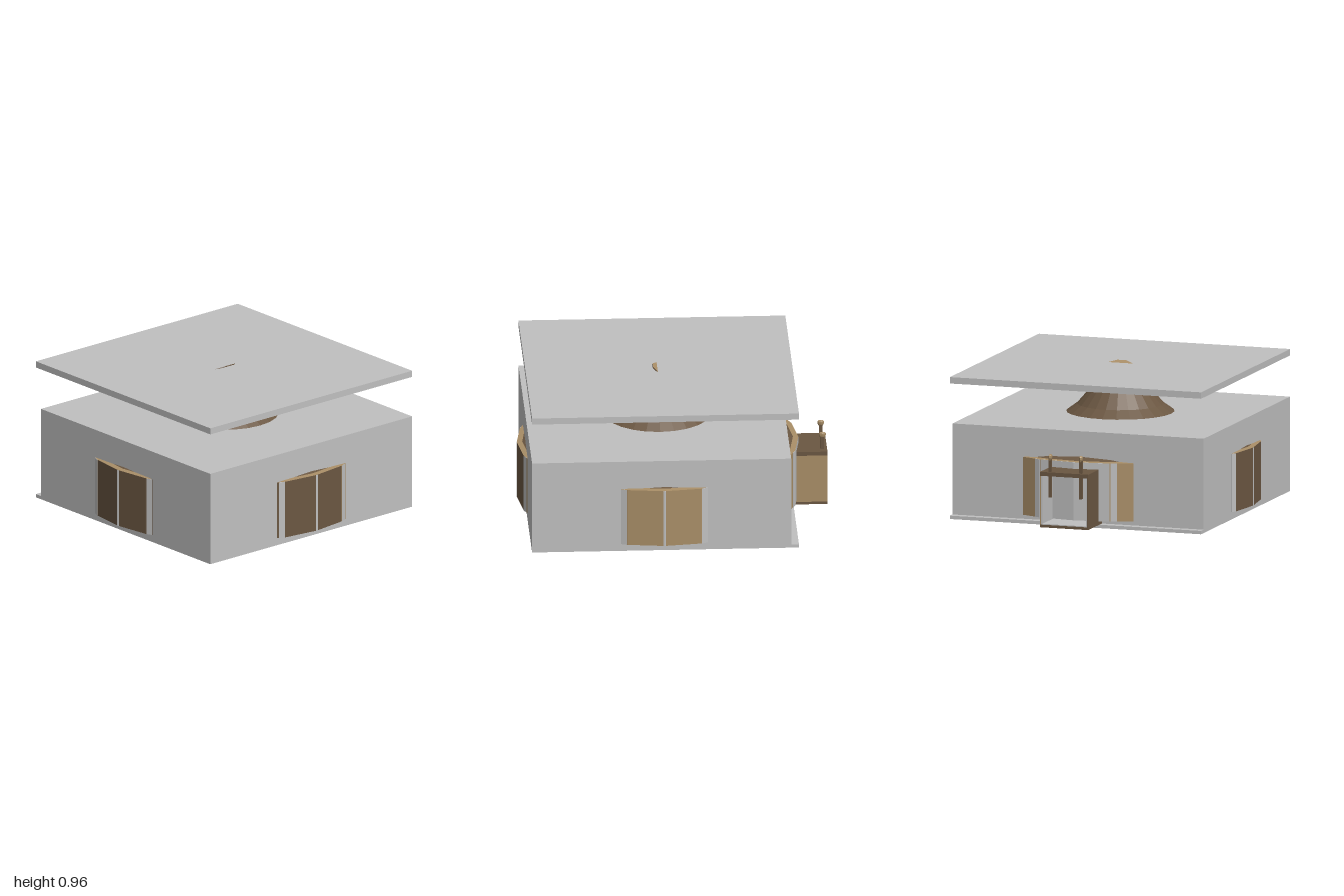
import * as THREE from 'three';

export function createModel() {
  const model = new THREE.Group();
  const mat = (name, color) => {
    const m = new THREE.MeshStandardMaterial({ color, side: THREE.DoubleSide, flatShading: true });
    m.name = name;
    return m;
  };
  const gray = mat('pale gray', 0xc0c0c0);
  const tan = mat('tan wood', 0xa98e67);
  const brown = mat('brown wood', 0x6b5742);

  const add = (name, geometry, material, x = 0, y = 0, z = 0, parent = model) => {
    const mesh = new THREE.Mesh(geometry, material);
    mesh.name = name;
    mesh.position.set(x, y, z);
    parent.add(mesh);
    return mesh;
  };
  // Box given by its limits on each axis
  const block = (name, material, x0, x1, y0, y1, z0, z1, parent = model) =>
    add(name, new THREE.BoxGeometry(x1 - x0, y1 - y0, z1 - z0), material,
      (x0 + x1) / 2, (y0 + y1) / 2, (z0 + z1) / 2, parent);

  // Square enclosure, floor ledge and floating roof slab
  block('enclosure', gray, -0.86, 0.86, 0.012, 0.63, -0.73, 0.945);
  block('floorLedge', gray, -0.86, 0.86, 0.012, 0.034, -0.78, -0.73);
  block('roofSlab', gray, -0.86, 0.86, 0.9, 0.942, -0.78, 0.945);

  // Round tent inside, with 24 sides, whose walls show through each face
  const tent = new THREE.Group();
  tent.name = 'roundTent';
  tent.position.z = 0.09;
  model.add(tent);
  const SIDES = 24, R = 0.91, Y0 = 0.06, Y1 = 0.44;
  const corner = (i) => {
    const a = (i / SIDES) * Math.PI * 2;
    return new THREE.Vector2(R * Math.sin(a), R * Math.cos(a));
  };
  // Flat wall piece covering the span t0..t1 of one side
  const wallPiece = (name, i, t0, t1, material, proud = 0) => {
    const a = corner(i).lerp(corner(i + 1), t0);
    const b = corner(i).lerp(corner(i + 1), t1);
    const angle = ((i + 0.5) / SIDES) * Math.PI * 2;
    const depth = 0.02;
    const mesh = add(name, new THREE.BoxGeometry(a.distanceTo(b), Y1 - Y0, depth), material,
      (a.x + b.x) / 2 + Math.sin(angle) * (proud - depth / 2), (Y0 + Y1) / 2,
      (a.y + b.y) / 2 + Math.cos(angle) * (proud - depth / 2), tent);
    mesh.rotation.y = angle;
  };
  for (let i = 0; i < SIDES; i++) {
    const isDoor = i === 11 || i === 12;
    const isTan = i >= 1 && i <= 13;
    wallPiece('wallPanel', i, 0, 1, isDoor ? gray : isTan ? tan : brown);
  }
  // Pale strips at the middle and both sides of each exposed stretch
  for (let q = 0; q < 4; q++) {
    const c = q * 6;
    wallPiece('wallStrip', c + 1, 0.03, 0.2, gray, 0.002);
    wallPiece('wallStrip', c - 2, 0.8, 0.97, gray, 0.002);
    wallPiece('seamStrip', c, 0, 0.03, gray, 0.002);
    wallPiece('seamStrip', c - 1, 0.97, 1, gray, 0.002);
  }
  const lathe = (name, points, material) =>
    add(name, new THREE.LatheGeometry(points.map(p => new THREE.Vector2(...p)), SIDES), material, 0, 0, 0, tent);
  lathe('wallRim', [[0.91, 0.441], [0.875, 0.444]], tan);
  lathe('tentRoof', [[0.875, 0.444], [0.35, 0.63], [0.28, 0.68], [0.185, 0.79], [0.15, 0.91]], brown);

  // Tilted crown cover, its edge just breaking through the slab
  const crown = add('crownCover', new THREE.CylinderGeometry(0.12, 0.12, 0.006, 12, 1, false, Math.PI / 12),
    [brown, tan, brown], 0, 0.902, 0.018);
  crown.rotation.x = -0.46;
  // Small foot showing under the floor
  const foot = add('floorFoot', new THREE.CylinderGeometry(0.055, 0.04, 0.014, 8), brown, 0, 0.007, 0.515);
  foot.scale.z = 0.25;

  // Porch at the back: floor, sides, roof, open at its far end
  const porch = new THREE.Group();
  porch.name = 'porch';
  model.add(porch);
  block('porchFloor', brown, -0.165, 0.165, 0.035, 0.052, -1, -0.73, porch);
  block('porchFloorLining', gray, -0.15, 0.15, 0.052, 0.058, -0.998, -0.73, porch);
  block('porchRoof', brown, -0.165, 0.165, 0.372, 0.398, -1, -0.73, porch);
  for (const s of [-1, 1]) {
    const side = (name, m, a, b) =>
      block(name, m, Math.min(s * a, s * b), Math.max(s * a, s * b), 0.052, 0.372, -1, -0.73, porch);
    side('porchSide', s > 0 ? tan : brown, 0.157, 0.165);
    side('porchSideLining', gray, 0.149, 0.157);
    // Post with a flared head, passing through the porch roof
    block('post', brown, s * 0.105 - 0.009, s * 0.105 + 0.009, 0.23, 0.48, -0.981, -0.959, porch);
    const head = add('postHead', new THREE.LatheGeometry(
      [[0, 0.465], [0.012, 0.47], [0.022, 0.49], [0.022, 0.503], [0.015, 0.51], [0, 0.51]]
        .map(p => new THREE.Vector2(...p)), 8), tan, s * 0.105, 0, -0.97, porch);
    head.scale.x = 0.5;
  }
  return model;
}
